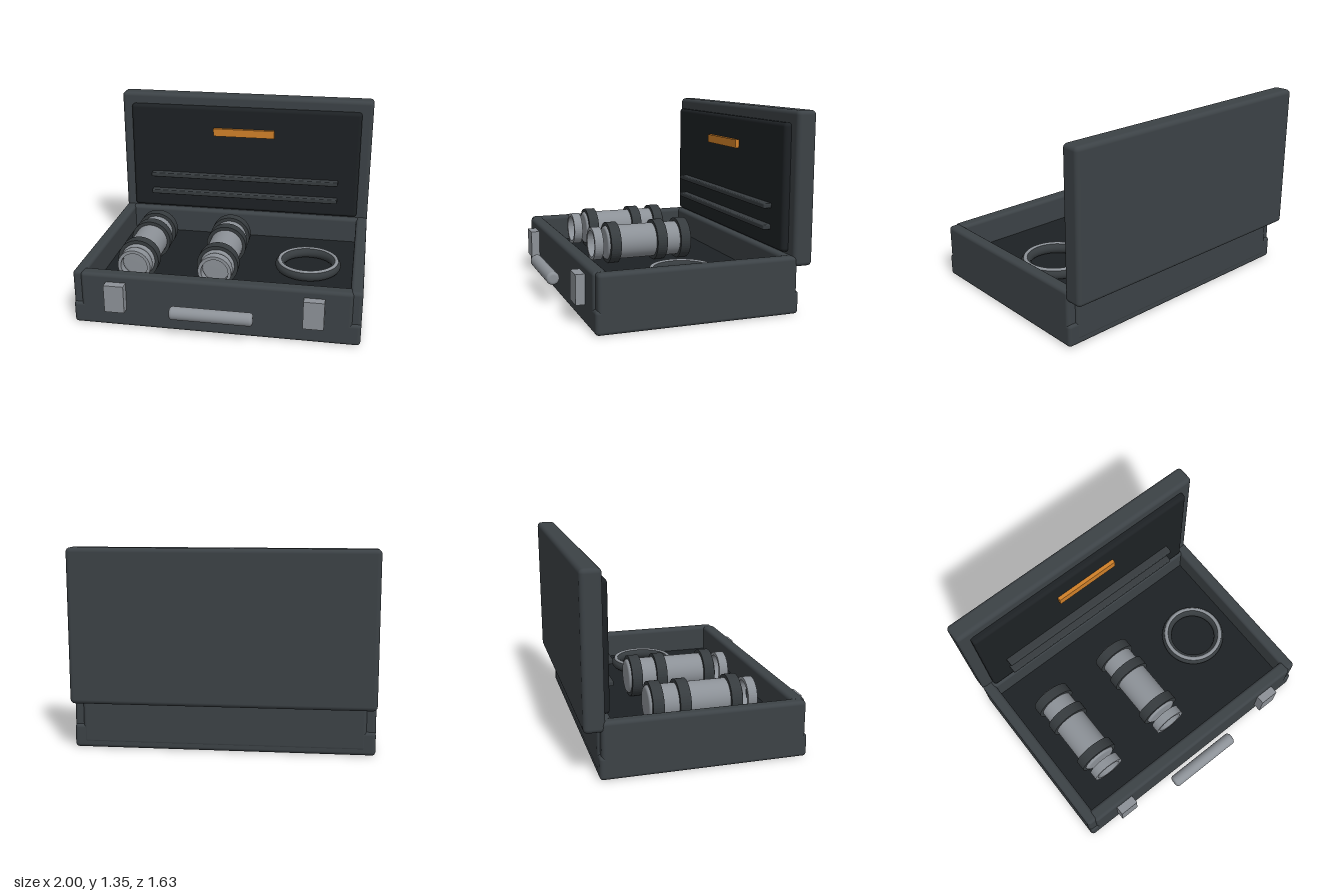
import * as THREE from 'three';
import { RoundedBoxGeometry } from 'three/addons/geometries/RoundedBoxGeometry.js';

const mat = (color) => new THREE.MeshStandardMaterial({ color });

export function createModel() {
  const model = new THREE.Group();
  const shell = mat(0x3c4246), lining = mat(0x1d2124), strap = mat(0x363b3e);
  const metal = mat(0x8c9197), orange = mat(0xd08029);

  const add = (name, geometry, material, parent = model) => {
    const mesh = new THREE.Mesh(geometry, material);
    mesh.name = name;
    parent.add(mesh);
    return mesh;
  };

  // Box given by its [min, max] on each axis; r rounds the edges
  const box = (name, [x0, x1], [y0, y1], [z0, z1], material, r = 0) => {
    const size = [x1 - x0, y1 - y0, z1 - z0];
    const geometry = r ? new RoundedBoxGeometry(...size, 3, r) : new THREE.BoxGeometry(...size);
    const mesh = add(name, geometry, material);
    mesh.position.set((x0 + x1) / 2, (y0 + y1) / 2, (z0 + z1) / 2);
    return mesh;
  };

  // Solid rod along its own y axis with rounded rims
  const rod = (radius, length, bevel) => {
    const h = length / 2, pts = [new THREE.Vector2(0, -h)];
    for (const s of [-1, 1]) {
      for (let i = 0; i <= 4; i++) {
        const a = (s < 0 ? i : 4 - i) * Math.PI / 8;
        pts.push(new THREE.Vector2(radius - bevel + bevel * Math.sin(a), s * (h - bevel + bevel * Math.cos(a))));
      }
    }
    pts.push(new THREE.Vector2(0, h));
    return new THREE.LatheGeometry(pts, 40);
  };

  // Square-edged ring along its own z axis
  const ring = (outer, inner, depth) => {
    const shape = new THREE.Shape().absarc(0, 0, outer, 0, Math.PI * 2, false);
    shape.holes.push(new THREE.Path().absarc(0, 0, inner, 0, Math.PI * 2, true));
    return new THREE.ExtrudeGeometry(shape, { depth, bevelEnabled: false, curveSegments: 24 })
      .translate(0, 0, -depth / 2);
  };

  // Case tray: base slab, four walls, dark floor
  box('caseBase', [-1, 1], [0, 0.16], [-0.72, 0.673], shell, 0.025);
  box('frontWall', [-0.94, 0.94], [0.03, 0.39], [0.575, 0.673], shell, 0.025);
  box('backWall', [-0.94, 0.94], [0.03, 0.39], [-0.722, -0.625], shell, 0.025);
  for (const s of [-1, 1]) {
    box('sideWall', s < 0 ? [-1, -0.915] : [0.915, 1], [0.03, 0.39], [-0.705, 0.657], shell, 0.025);
  }
  box('floorLining', [-0.93, 0.93], [0.12, 0.195], [-0.65, 0.6], lining);

  // Upright lid with padded lining, rails and label strip
  box('lid', [-1, 1], [0.32, 1.345], [-0.815, -0.677], shell, 0.03);
  box('lidLining', [-0.915, 0.915], [0.405, 1.26], [-0.7, -0.63], lining, 0.025);
  for (const y of [0.547, 0.693]) {
    box('lidRail', [-0.755, 0.755], [y - 0.017, y + 0.017], [-0.64, -0.573], strap, 0.008);
  }
  box('lidStrip', [-0.243, 0.243], [1.035, 1.095], [-0.64, -0.602], orange);

  // Latches and carrying handle on the front
  for (const s of [-1, 1]) {
    box('latch', s < 0 ? [-0.755, -0.615] : [0.615, 0.755], [0.135, 0.335], [0.66, 0.735], metal);
  }
  const handle = add('handle', rod(0.046, 0.57, 0.022), metal);
  handle.rotation.z = Math.PI / 2;
  handle.position.set(0, 0.19, 0.769);

  // Two banded canisters lying front to back
  for (const x of [-0.63, -0.043]) {
    const canister = new THREE.Group();
    canister.name = 'canister';
    canister.position.set(x, 0.34, 0);
    const body = add('canisterBody', rod(0.125, 0.653, 0.022), metal, canister);
    body.rotation.x = Math.PI / 2;
    body.position.z = -0.012;
    for (const z of [-0.281, -0.097, 0.259]) {
      add('canisterBand', ring(0.15, 0.118, 0.076), strap, canister).position.z = z;
    }
    add('canisterRim', ring(0.12, 0.097, 0.065), metal, canister).position.z = 0.38;
    model.add(canister);
  }

  // Coiled ring on the floor with a bright inlay
  const coil = new THREE.Group();
  coil.name = 'coil';
  coil.position.set(0.582, 0.236, -0.06);
  coil.rotation.x = -Math.PI / 2;
  add('coilRing', new THREE.TorusGeometry(0.208, 0.037, 16, 56), strap, coil);
  add('coilInlay', new THREE.TorusGeometry(0.213, 0.014, 12, 56), metal, coil).position.z = 0.031;
  model.add(coil);

  return model;
}
